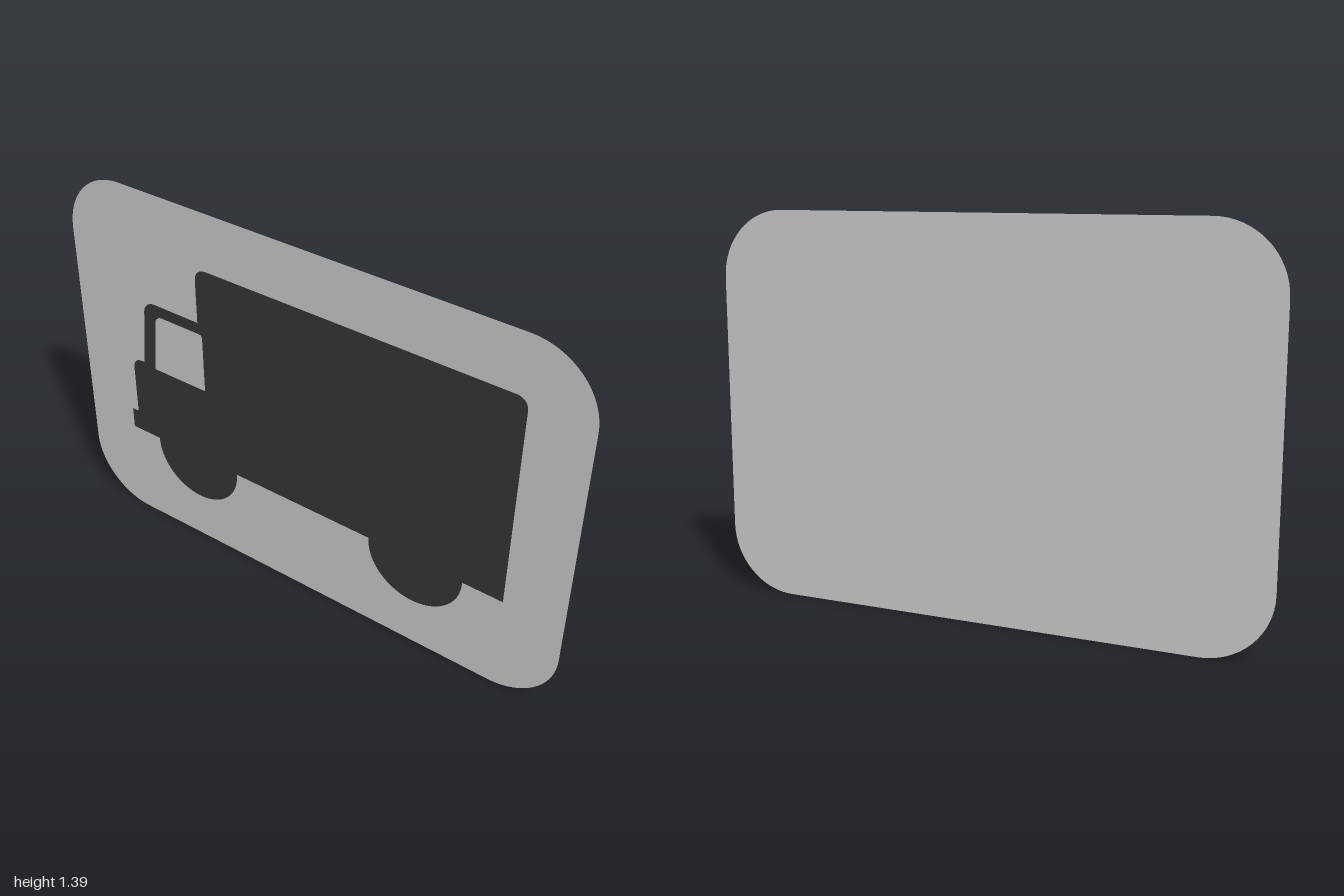
import * as THREE from 'three';

// Outline from [x, y, cornerRadius] points, each corner eased with a curve
function roundedPath(points, Type = THREE.Shape) {
  const path = new Type();
  const n = points.length;
  points.forEach(([x, y, r = 0], i) => {
    const p = new THREE.Vector2(x, y);
    const toward = ([qx, qy], d) =>
      new THREE.Vector2(qx, qy).sub(p).setLength(d).add(p);
    const a = toward(points[(i + n - 1) % n], r);
    const b = toward(points[(i + 1) % n], r);
    if (i === 0) path.moveTo(a.x, a.y);
    else path.lineTo(a.x, a.y);
    if (r > 0) {
      const k = 0.5523; // cubic handle for a circular corner
      const c1 = a.clone().lerp(p, k);
      const c2 = b.clone().lerp(p, k);
      path.bezierCurveTo(c1.x, c1.y, c2.x, c2.y, b.x, b.y);
    }
  });
  path.closePath();
  return path;
}

export function createModel() {
  const group = new THREE.Group();
  group.name = 'truckSign';
  const grey = new THREE.MeshStandardMaterial({ color: 0xcccccc, side: THREE.DoubleSide });
  const dark = new THREE.MeshStandardMaterial({ color: 0x353535, side: THREE.DoubleSide });

  const add = (name, geometry, material, x, y, z) => {
    const mesh = new THREE.Mesh(geometry, material);
    mesh.name = name;
    mesh.position.set(x, y, z);
    group.add(mesh);
  };

  // Backing plate with large rounded corners
  const r = 0.24;
  const plate = roundedPath([[-1, 0, r], [1, 0, r], [1, 1.39, r], [-1, 1.39, r]]);
  add('backingPlate', new THREE.ShapeGeometry(plate, 16), grey, 0, 0, -0.004);

  // Truck silhouette: bumper, bonnet, cab and cargo box
  const body = roundedPath([
    [-0.79, 0.38], [0.786, 0.38], [0.786, 1.18, 0.04], [-0.445, 1.18, 0.045],
    [-0.445, 0.968], [-0.684, 0.968, 0.045], [-0.708, 0.703],
    [-0.762, 0.703, 0.04], [-0.762, 0.463], [-0.79, 0.463],
  ]);

  // Cab window opening
  body.holes.push(roundedPath([
    [-0.658, 0.693], [-0.637, 0.924, 0.03], [-0.428, 0.924, 0.012], [-0.428, 0.693],
  ], THREE.Path));
  add('truckBody', new THREE.ShapeGeometry(body, 10), dark, 0, 0, 0.001);

  // Wheels, a layer in front of the body
  [['frontWheel', -0.479], ['rearWheel', 0.454]].forEach(([name, x]) =>
    add(name, new THREE.CircleGeometry(0.183, 64), dark, x, 0.379, 0.004));

  return group;
}
